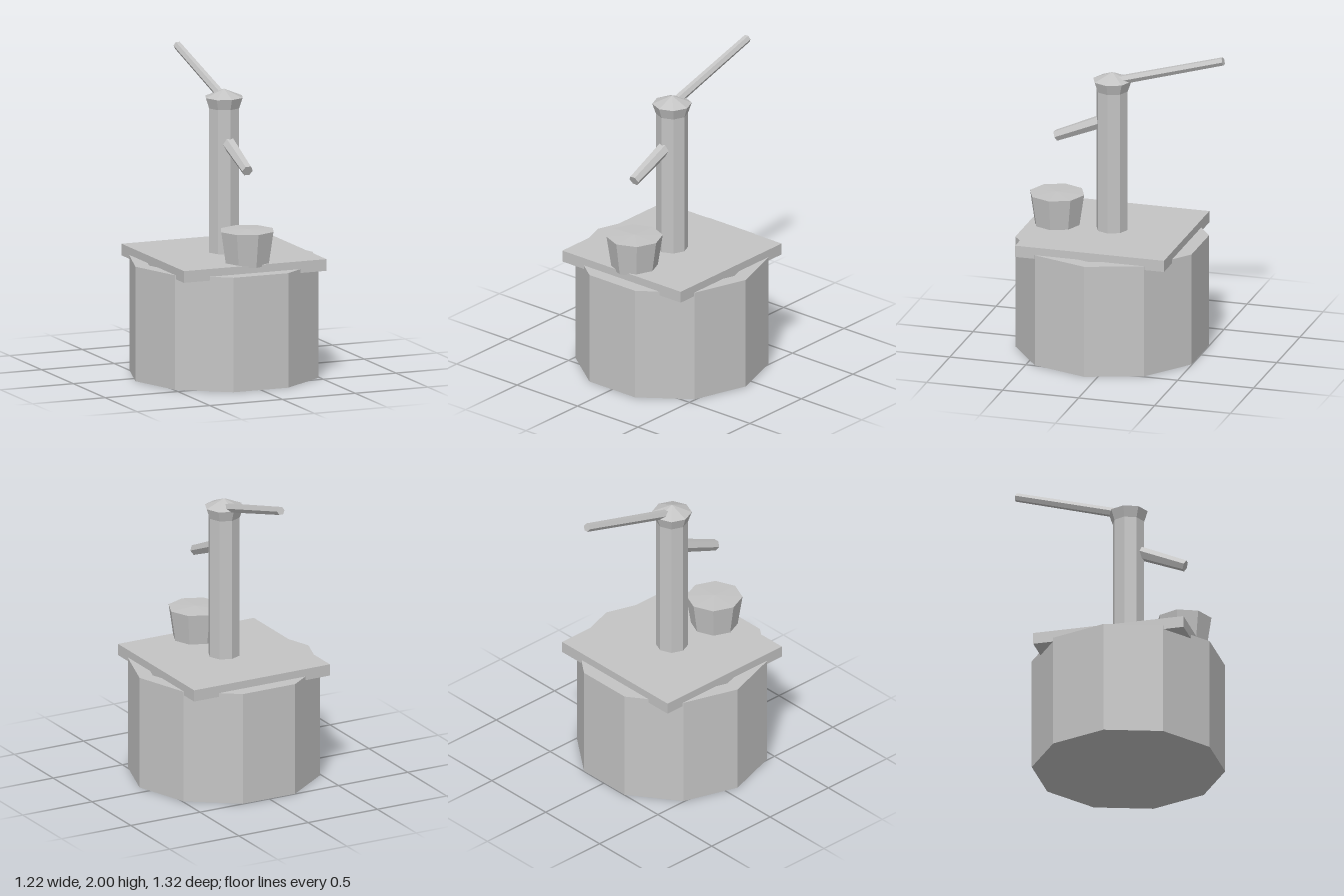
import * as THREE from 'three';

const AXIS_Z = 0.083; // depth of the well's vertical axis

export function createModel() {
  const stone = new THREE.MeshStandardMaterial({ color: 0xc4c4c4, flatShading: true });
  stone.name = 'stone grey';
  const model = new THREE.Group();
  model.name = 'waterPump';

  const add = (name, geometry, x, y, z) => {
    const mesh = new THREE.Mesh(geometry, stone);
    mesh.name = name;
    mesh.position.set(x, y, z);
    model.add(mesh);
    return mesh;
  };

  // Faceted turned solid from [radius, height] pairs, listed bottom to top
  const turned = (profile, sides, start = 0) =>
    new THREE.LatheGeometry(profile.map(([r, y]) => new THREE.Vector2(r, y)), sides, start);

  // Six-sided tapered rod between two [z, y] points on the centre plane
  const rod = (name, [z0, y0], [z1, y1], r0, r1) => {
    const dz = z1 - z0, dy = y1 - y0;
    const geometry = new THREE.CylinderGeometry(r1, r0, Math.hypot(dz, dy), 6, 1, false, Math.PI / 6);
    const mesh = add(name, geometry, 0, (y0 + y1) / 2, (z0 + z1) / 2);
    mesh.rotation.x = Math.atan2(dz, dy);
  };

  // Ten-sided well wall with a recess under the cover
  add('wellBase', turned(
    [[0, 0], [0.61, 0], [0.61, 0.735], [0.515, 0.735], [0.515, 0.6], [0, 0.6]],
    10, Math.PI / 10), 0, 0, AXIS_Z);

  // Square cover slab
  add('coverSlab', new THREE.BoxGeometry(0.98, 0.075, 0.98), 0, 0.7475, AXIS_Z);

  // Pump column with flared collar and pointed cap
  add('pumpColumn', turned(
    [[0, 0.75], [0.102, 0.75], [0.102, 1.71], [0.125, 1.778], [0, 1.83]], 8), 0, 0, AXIS_Z);

  // Spout sloping down to the front, handle rising to the back
  rod('spout', [0.1, 1.517], [0.453, 1.368], 0.045, 0.036);
  rod('handle', [0.06, 1.774], [-0.648, 1.977], 0.03, 0.027);

  // Full bucket under the spout
  add('bucket', turned(
    [[0, 0.77], [0.145, 0.77], [0.178, 0.987], [0, 0.995]], 8), 0, 0, 0.446);

  return model;
}
